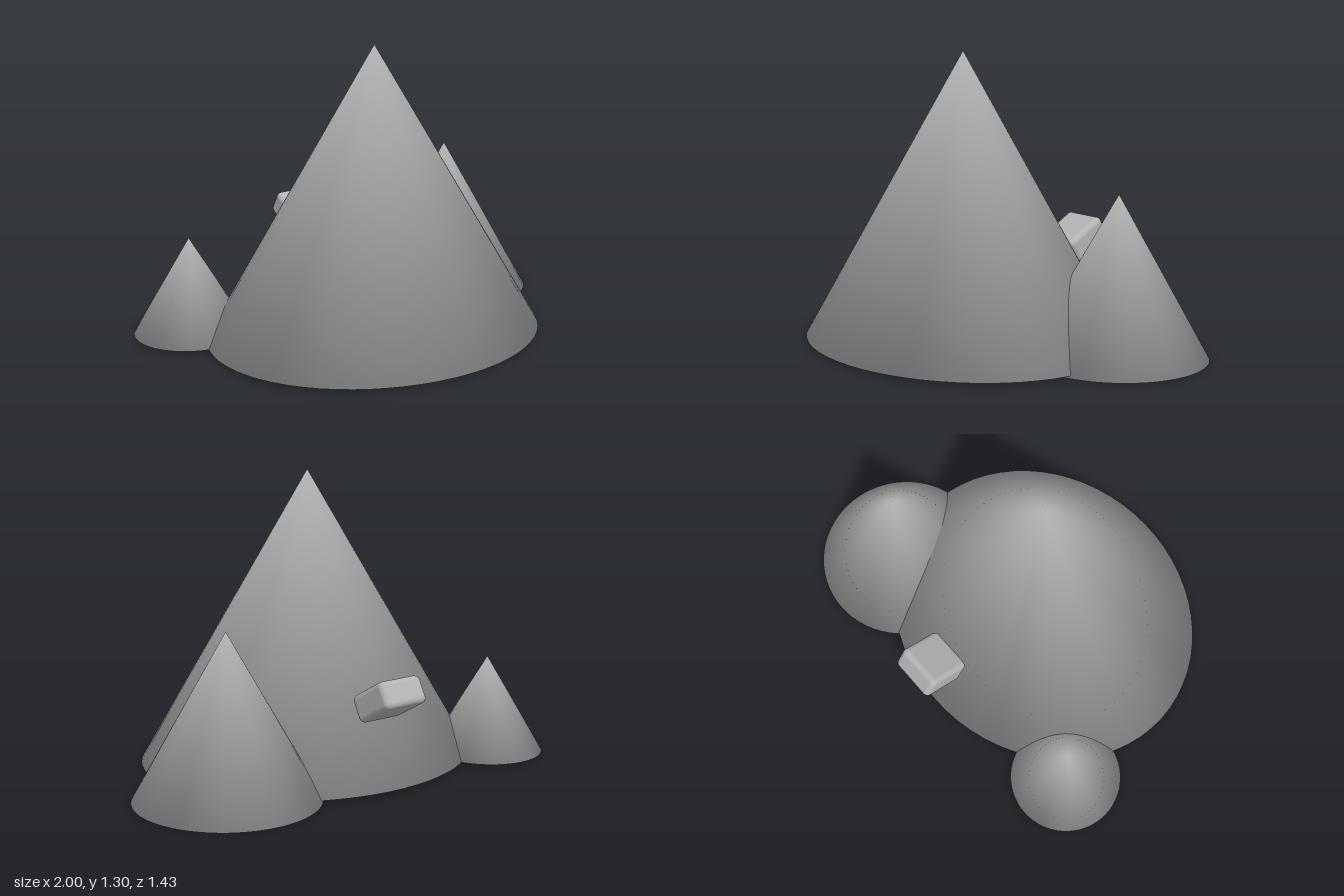
import * as THREE from 'three';
import { RoundedBoxGeometry } from 'three/addons/geometries/RoundedBoxGeometry.js';

const grey = new THREE.MeshStandardMaterial({ color: 0xb4b4b4 });
grey.name = 'grey';

// Closed elliptical cone: apex and rim vertices are shared, so shading runs smoothly over the rim
function softCone(rx, rz, height, sides = 64) {
  const position = [0, height, 0];
  const normal = [0, 1, 0];
  const index = [];
  const n = new THREE.Vector3();
  for (let i = 0; i < sides; i++) {
    const a = (i / sides) * Math.PI * 2;
    const s = Math.sin(a), c = Math.cos(a);
    position.push(rx * s, 0, rz * c);
    // rim normal: halfway between the slope and the flat underside
    n.set(s / rx, 1 / height, c / rz).normalize();
    n.y -= 1;
    n.normalize();
    normal.push(n.x, n.y, n.z);
    index.push(0, 1 + i, 1 + ((i + 1) % sides));
    // flat underside
    if (i > 0 && i < sides - 1) index.push(1, 2 + i, 1 + i);
  }
  const geometry = new THREE.BufferGeometry();
  geometry.setAttribute('position', new THREE.Float32BufferAttribute(position, 3));
  geometry.setAttribute('normal', new THREE.Float32BufferAttribute(normal, 3));
  geometry.setIndex(index);
  return geometry;
}

export function createModel() {
  const model = new THREE.Group();
  model.name = 'mountains';

  const add = (name, geometry, x, y, z) => {
    const mesh = new THREE.Mesh(geometry, grey);
    mesh.name = name;
    mesh.position.set(x, y, z);
    model.add(mesh);
    return mesh;
  };

  // Three overlapping peaks
  add('mainPeak', softCone(0.78, 0.68, 1.295), -0.06, 0.01, 0.035);
  add('leftPeak', softCone(0.4, 0.4, 0.715), 0.6, 0, -0.29);
  add('rightPeak', softCone(0.257, 0.257, 0.437), -0.743, 0.01, -0.425);

  // Rounded block standing out of the rear slope
  const block = add('rearBlock', new RoundedBoxGeometry(0.22, 0.122, 0.22, 4, 0.025), -0.013, 0.4, -0.6);
  block.rotation.x = Math.PI / 6;

  return model;
}
